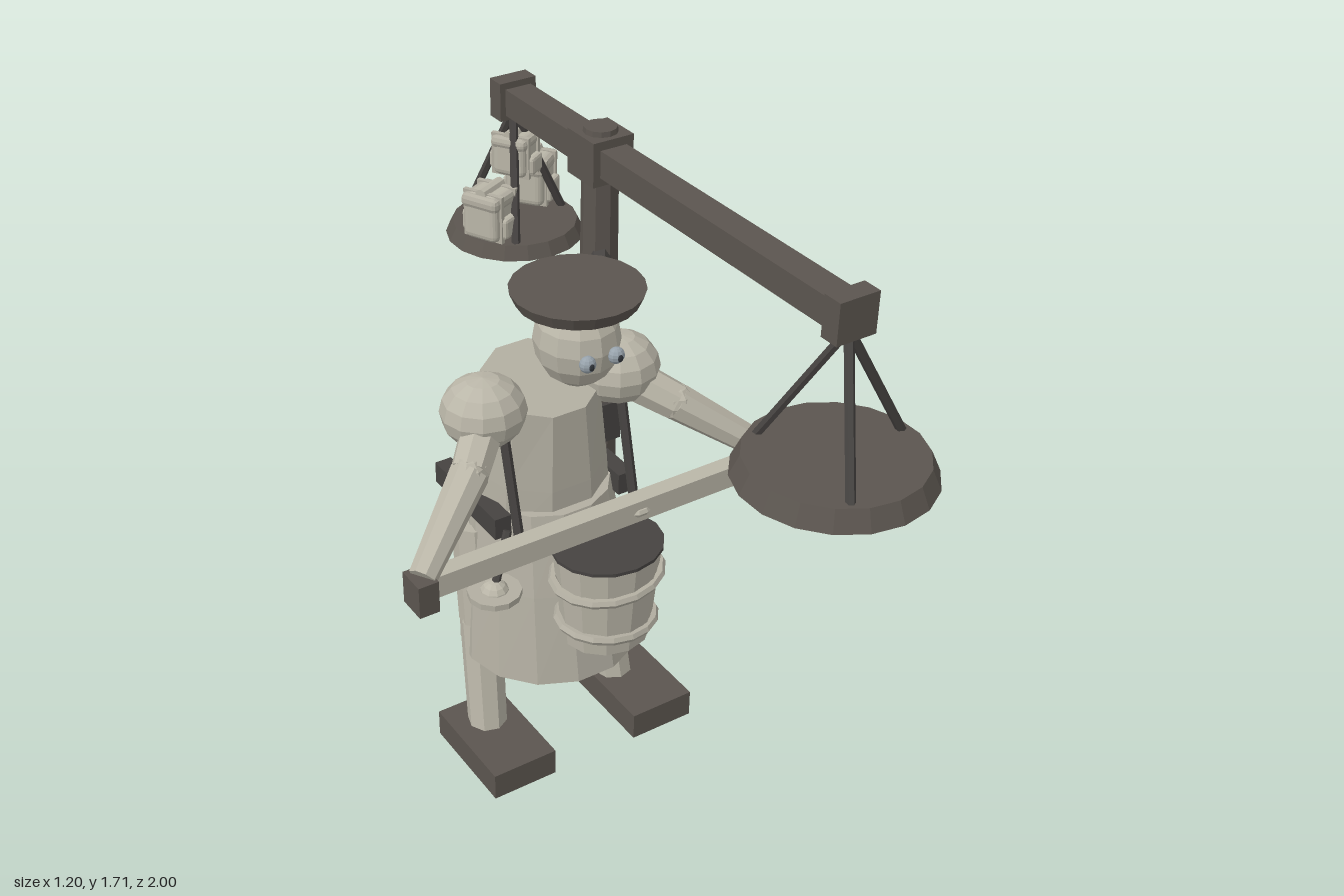
import * as THREE from 'three';
import { RoundedBoxGeometry } from 'three/addons/geometries/RoundedBoxGeometry.js';

const paint = (name, color) => {
  const m = new THREE.MeshStandardMaterial({ color, flatShading: true, side: THREE.DoubleSide });
  m.name = name;
  return m;
};

export function createModel() {
  const root = new THREE.Group();
  root.name = 'marketPorterWithScale';
  const pale = paint('pale clay', 0xbab6a8);
  const cloth = paint('cloth', 0xb2aea1);
  const wood = paint('dark wood', 0x5b554f);
  const iron = paint('dark iron', 0x464341);
  const eyeColor = paint('eye', 0x98a3ac);
  const pupilColor = paint('pupil', 0x30343a);

  const V = (p) => new THREE.Vector3(...p);
  const add = (name, geo, mat, pos = [0, 0, 0], parent = root) => {
    const mesh = new THREE.Mesh(geo, mat);
    mesh.name = name;
    mesh.position.set(...pos);
    parent.add(mesh);
    return mesh;
  };
  const box = (name, size, pos, mat, parent) => add(name, new THREE.BoxGeometry(...size), mat, pos, parent);
  const drum = (name, rTop, rBottom, h, sides, pos, mat, parent) =>
    add(name, new THREE.CylinderGeometry(rTop, rBottom, h, sides), mat, pos, parent);
  const ball = (name, r, pos, mat, w = 12, h = 8, parent = root) => {
    const mesh = add(name, new THREE.SphereGeometry(1, w, h), mat, pos, parent);
    mesh.scale.set(...r);
    return mesh;
  };
  // Tapered rod between two points
  const rod = (name, a, b, rA, rB, mat, sides = 6, parent = root) => {
    const from = V(a), to = V(b), dir = to.clone().sub(from);
    const mid = from.clone().add(to).multiplyScalar(0.5);
    const mesh = drum(name, rB, rA, dir.length(), sides, mid.toArray(), mat, parent);
    mesh.quaternion.setFromUnitVectors(new THREE.Vector3(0, 1, 0), dir.normalize());
    return mesh;
  };
  // Closed body from oval rings [y, rx, cz, rz, drop], where drop lowers the front
  const loft = (name, rings, n, mat, x) => {
    const pos = [], idx = [];
    for (const [y, rx, cz, rz, drop = 0] of rings)
      for (let j = 0; j < n; j++) {
        const a = ((j + 0.5) / n) * Math.PI * 2;
        pos.push(rx * Math.sin(a), y - drop * Math.cos(a), cz + rz * Math.cos(a));
      }
    for (let i = 0; i < rings.length - 1; i++)
      for (let j = 0; j < n; j++) {
        const k = (j + 1) % n, a = i * n + j, b = i * n + k;
        idx.push(a, b, b + n, a, b + n, a + n);
      }
    const top = (rings.length - 1) * n;
    for (let j = 1; j < n - 1; j++) idx.push(0, j + 1, j, top, top + j, top + j + 1);
    const geo = new THREE.BufferGeometry();
    geo.setAttribute('position', new THREE.Float32BufferAttribute(pos, 3));
    geo.setIndex(idx);
    geo.computeVertexNormals();
    return add(name, geo, mat, [x, 0, 0]);
  };

  // Balance: post, beam and end blocks
  const PX = 0.335, PZ = -0.323;
  box('postBase', [0.23, 0.07, 0.23], [PX, 0.035, PZ], wood);
  drum('post', 0.053, 0.064, 1.55, 8, [PX, 0.82, PZ], wood);
  box('postHead', [0.13, 0.13, 0.13], [PX, 1.63, PZ], wood);
  drum('postKnob', 0.047, 0.05, 0.02, 12, [PX, 1.7, PZ], wood);
  box('beam', [0.085, 0.08, 1.5], [PX, 1.63, -0.022], wood);

  // Hanging pans with three rods each
  for (const [name, z, r] of [['frontPan', 0.738, 0.264], ['backPan', -0.785, 0.21]]) {
    const pan = new THREE.Group();
    pan.name = name;
    root.add(pan);
    box('beamEnd', [0.12, 0.115, 0.058], [PX, 1.632, z], wood, pan);
    const yBottom = z > 0 ? 1.184 : 1.2;
    drum('dish', r * 0.9, r, 1.241 - yBottom, 18, [PX, (1.241 + yBottom) / 2, z], wood, pan);
    for (let i = 0; i < 3; i++) {
      const a = (i * Math.PI * 2) / 3, q = r * 0.8;
      rod('panRod', [PX, 1.59, z], [PX + q * Math.cos(a), 1.235, z + q * Math.sin(a)], 0.013, 0.013, iron, 6, pan);
    }
  }

  // Strapped bundles on the back pan
  const bundle = (x, y, z, w, h, d, turn) => {
    const g = new THREE.Group();
    g.name = 'bundle';
    g.position.set(x, y, z);
    g.rotation.y = turn;
    root.add(g);
    add('sack', new RoundedBoxGeometry(w, h, d, 2, 0.022), pale, [0, h / 2, 0], g);
    add('flap', new RoundedBoxGeometry(w * 1.06, h * 0.3, d * 1.06, 1, 0.015), cloth, [0, h * 0.84, 0], g);
    for (const s of [-1, 1]) {
      box('strap', [0.014, h * 1.04, d * 1.12], [s * w * 0.28, h / 2, 0], cloth, g);
      add('pocket', new RoundedBoxGeometry(w * 0.6, h * 0.45, 0.03, 1, 0.01), pale, [0, h * 0.3, s * d * 0.54], g);
    }
    rod('roll', [-w * 0.4, h, 0], [w * 0.4, h, 0], 0.018, 0.018, pale, 8, g);
  };
  bundle(0.45, 1.242, -0.875, 0.14, 0.145, 0.12, 0.65);
  bundle(0.22, 1.242, -0.73, 0.13, 0.145, 0.12, 0.45);
  bundle(0.345, 1.39, -0.79, 0.11, 0.125, 0.11, 0.55);

  // Struts joining post and figure
  rod('upperStrut', [0.33, 1.35, -0.31], [0.16, 1.15, -0.06], 0.032, 0.032, iron);
  rod('lowerStrut', [0.33, 0.79, -0.3], [0.12, 0.825, -0.08], 0.024, 0.024, iron);
  box('strutCollar', [0.1, 0.13, 0.1], [0.325, 0.79, -0.305], iron);

  // Robe
  const CX = -0.025;
  loft('torso', [[0.74, 0.215, -0.09, 0.205], [0.92, 0.2, -0.09, 0.2, 0.02], [1.165, 0.165, -0.06, 0.155, 0.035]], 10, cloth, CX);
  loft('skirt', [[0.33, 0.265, -0.015, 0.255], [0.6, 0.235, -0.045, 0.235], [0.84, 0.2, -0.07, 0.205]], 14, cloth, CX);

  // Head, hat and eyes
  ball('head', [0.113, 0.13, 0.12], [-0.03, 1.383, 0.128], pale);
  drum('hat', 0.176, 0.16, 0.036, 20, [-0.03, 1.513, 0.13], wood);
  for (const s of [-1, 1]) {
    ball('eye', [0.023, 0.023, 0.02], [-0.031 + s * 0.043, 1.376, 0.247], eyeColor, 10, 8);
    ball('pupil', [0.008, 0.01, 0.004], [-0.031 + s * 0.043, 1.376, 0.267], pupilColor, 8, 6);
  }

  // Paired limbs, feet, side bars and straps
  for (const s of [-1, 1]) {
    const X = (d) => CX + s * d;
    ball('shoulder', [0.118, 0.1, 0.115], [X(0.212), 1.164, 0], pale);
    const elbow = [X(0.325), 1.075, 0.12], wrist = [X(0.545), 0.915, 0.255];
    rod('upperArm', [X(0.21), 1.15, 0.01], elbow, 0.06, 0.053, pale, 8);
    ball('elbow', [0.052, 0.052, 0.052], elbow, pale, 8, 6);
    rod('forearm', elbow, wrist, 0.053, 0.038, pale, 8);
    box('handGrip', [0.058, 0.095, 0.085], [X(0.55), 0.87, 0.253], wood);
    const knee = [X(0.2), 0.42, -0.07];
    rod('thigh', [X(0.19), 0.73, -0.108], knee, 0.066, 0.062, pale, 8);
    ball('knee', [0.061, 0.061, 0.061], knee, pale, 8, 6);
    rod('shin', knee, [X(0.222), 0.07, -0.008], 0.062, 0.058, pale, 8);
    box('foot', [0.203, 0.085, 0.327], [-0.014 + s * 0.239, 0.0425, 0.053], wood);
    box('sideBar', [0.05, 0.065, 0.33], [X(0.2), 0.822, -0.095], iron);
    rod('strap', [X(0.185), 1.1, 0.06], [X(0.185), 0.77, 0.14], 0.014, 0.014, iron);
  }

  // Carrying pole
  box('pole', [1.1, 0.065, 0.05], [CX, 0.873, 0.24], pale);

  // Bucket with hoops and lid
  const bucket = new THREE.Group();
  bucket.name = 'bucket';
  bucket.position.set(-0.03, 0, 0.285);
  bucket.scale.z = 0.9;
  root.add(bucket);
  drum('bucketBody', 0.152, 0.125, 0.285, 12, [0, 0.677, 0], pale, bucket);
  drum('bucketLid', 0.158, 0.158, 0.01, 16, [0, 0.828, 0], iron, bucket);
  for (const [y, r, tilt] of [[0.735, 0.151, 0.06], [0.59, 0.136, -0.06]]) {
    const hoop = add('hoop', new THREE.TorusGeometry(r, 0.014, 6, 16), cloth, [0, y, 0], bucket);
    hoop.rotation.set(Math.PI / 2, tilt, 0);
  }
  ball('lidStone', [0.046, 0.02, 0.04], [0.095, 0.868, 0.235], pale, 10, 6);

  // Hanging ladle at the right hip
  rod('ladleHandle', [-0.235, 0.84, 0.11], [-0.305, 0.69, 0.15], 0.012, 0.012, iron);
  drum('ladleRim', 0.075, 0.075, 0.018, 12, [-0.3, 0.683, 0.145], cloth);
  ball('ladleBowl', [0.042, 0.04, 0.042], [-0.3, 0.68, 0.145], pale, 10, 8);

  return root;
}
